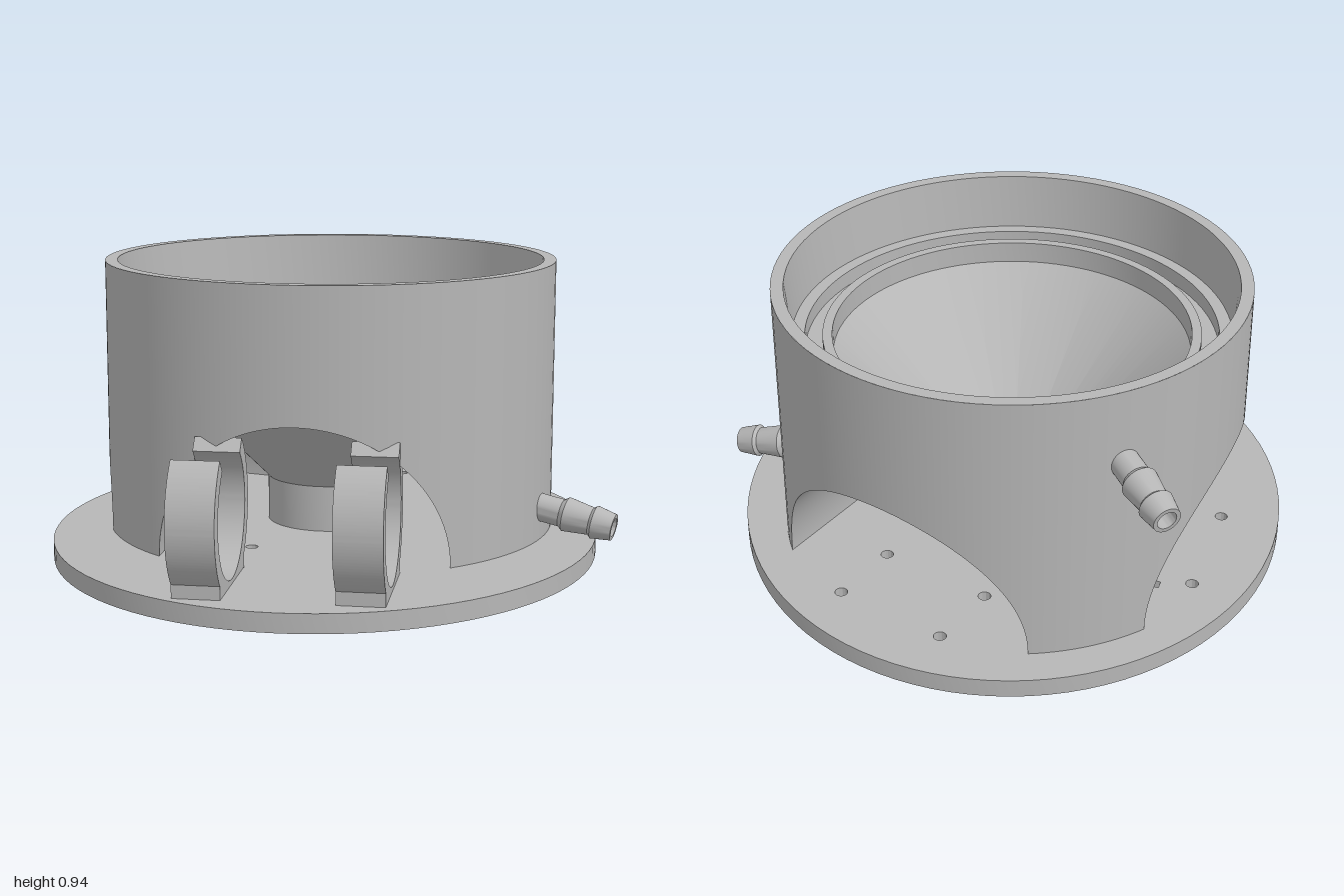
import * as THREE from 'three';
import { toCreasedNormals } from 'three/addons/utils/BufferGeometryUtils.js';
import { ParametricGeometry } from 'three/addons/geometries/ParametricGeometry.js';

const CX = -0.06, CZ = -0.14;        // axis of the round body
const FLOOR = 0.06, TOP = 0.94, R = 0.74;
const ARCH = 0.455;                  // radius of the arched tunnels
const rad = THREE.MathUtils.degToRad;

export function createModel() {
  const grey = new THREE.MeshStandardMaterial({ color: 0xb6b6b6 });
  grey.name = 'plain grey';
  const model = new THREE.Group();
  model.name = 'funnelStand';
  const body = new THREE.Group();
  body.name = 'body';
  body.position.set(CX, 0, CZ);
  model.add(body);

  const add = (name, geometry, parent = model) => {
    const mesh = new THREE.Mesh(geometry, grey);
    mesh.name = name;
    parent.add(mesh);
    return mesh;
  };
  const lathe = (pts, segments) => toCreasedNormals(
    new THREE.LatheGeometry(pts.map(p => new THREE.Vector2(...p)), segments), 0.5);

  // Tunnels: heading and the half angles to the neighbour on the two sides
  const tunnels = [
    { az: rad(75), plus: rad(52.5), minus: rad(75) },
    { az: rad(180), plus: rad(52.5), minus: rad(52.5) },
    { az: rad(285), plus: rad(75), minus: rad(52.5) },
  ];

  // Base plate: tilted ellipse with screw holes and cable slots
  const plate = new THREE.Shape();
  plate.absellipse(-0.025, -0.02, 0.986, 0.888, 0, Math.PI * 2, false, rad(75));
  const onPlate = (az, t, d) => [
    CX + t * Math.cos(az) - d * Math.sin(az),
    CZ + t * Math.sin(az) + d * Math.cos(az)];
  for (const { az } of tunnels) {
    for (const t of [0.43, 0.665]) for (const d of [-0.19, 0.19]) {
      const hole = new THREE.Path();
      hole.absarc(...onPlate(az, t, d), 0.02, 0, Math.PI * 2, true);
      plate.holes.push(hole);
    }
  }
  for (const s of [-1, 1]) {
    const corners = [[-1, -1], [1, -1], [1, 1], [-1, 1]].map(([a, b]) =>
      new THREE.Vector2(...onPlate(Math.PI, 0.545 + a * 0.025, s * 0.23 + b * 0.015)));
    plate.holes.push(new THREE.Path(corners));
  }
  const plateGeo = new THREE.ExtrudeGeometry(plate,
    { depth: FLOOR, bevelEnabled: false, curveSegments: 48 });
  plateGeo.rotateX(Math.PI / 2).translate(0, FLOOR, 0);
  add('basePlate', toCreasedNormals(plateGeo, 0.5));

  // Outer wall over an arch, and the arch lining running in to the funnel
  tunnels.forEach(({ az, plus, minus }, i) => {
    add('archWall' + (i + 1), new ParametricGeometry((u, v, p) => {
      const phi = (u - 0.5) * Math.PI;
      const a = az - Math.asin(ARCH * Math.sin(phi) / R);
      const low = FLOOR + ARCH * Math.cos(phi);
      p.set(R * Math.cos(a), low + (TOP - low) * v, R * Math.sin(a));
    }, 64, 1), body);

    add('archLining' + (i + 1), new ParametricGeometry((u, v, p) => {
      const phi = (u - 0.5) * Math.PI;
      const d = -ARCH * Math.sin(phi), y = FLOOR + ARCH * Math.cos(phi);
      const cone = Math.max(0.21, y);
      const inner = Math.max(Math.sqrt(Math.max(0, cone * cone - d * d)),
        Math.abs(d) / Math.tan(d > 0 ? plus : minus));
      const t = inner + (Math.sqrt(R * R - d * d) - inner) * v;
      p.set(t * Math.cos(az) - d * Math.sin(az), y, t * Math.sin(az) + d * Math.cos(az));
    }, 96, 1), body);

    // Pillar between this arch and the next
    const half = Math.asin(ARCH / R);
    const next = i < 2 ? tunnels[i + 1].az : tunnels[0].az + Math.PI * 2;
    add('pillar' + (i + 1), new ParametricGeometry((u, v, p) => {
      const a = THREE.MathUtils.lerp(next - half, az + half, u);
      p.set(R * Math.cos(a), FLOOR + (TOP - FLOOR) * v, R * Math.sin(a));
    }, 20, 1), body);
  });

  // Rim, stepped seat with ring groove, funnel and drain
  add('rimAndFunnel', lathe([
    [R, TOP], [0.7, TOP], [0.685, 0.76], [0.645, 0.76], [0.645, 0.71], [0.59, 0.71],
    [0.59, 0.76], [0.56, 0.76], [0.56, 0.69], [0.04, 0.17], [0.04, 0.1], [0, 0.1],
  ], 96), body);

  // Underside of the funnel and its central column
  add('funnelUnderside', lathe([[0.21, FLOOR], [0.21, 0.21], [0.58, 0.58]], 96), body);

  // Barbed hose nozzles, sloping down and outward
  const nozzleGeo = lathe([
    [0.03, 0], [0.045, 0], [0.045, 0.11], [0.056, 0.125], [0.045, 0.21],
    [0.054, 0.22], [0.043, 0.285], [0.03, 0.285], [0.03, 0],
  ], 32).rotateZ(-Math.PI / 2 - rad(10));
  for (const [name, az, y] of [['lowerNozzle', 0, 0.17], ['upperNozzle', rad(225), 0.705]]) {
    const nozzle = add(name, nozzleGeo, body);
    nozzle.position.set(0.7 * Math.cos(az), y, 0.7 * Math.sin(az));
    nozzle.rotation.y = -az;
  }

  // Open-topped clips with a foot on the base plate
  const ro = 0.25, ri = 0.2, foot = 0.18, axisY = 0.275;
  const footAngle = Math.acos(foot / ro);
  const clip = new THREE.Shape();
  clip.absarc(0, 0, ro, rad(50), -footAngle, true);
  clip.lineTo(foot, FLOOR - axisY);
  clip.lineTo(-foot, FLOOR - axisY);
  clip.absarc(0, 0, ro, Math.PI + footAngle, rad(130), true);
  clip.absarc(0, 0, ri, rad(130), rad(410), false);
  const clipGeo = toCreasedNormals(new THREE.ExtrudeGeometry(clip,
    { depth: 0.145, bevelEnabled: false, curveSegments: 40 }).translate(0, 0, -0.0725), 0.5);
  [[-0.078, 0.733], [0.385, 0.607]].forEach(([x, z], i) => {
    const mesh = add('clip' + (i + 1), clipGeo);
    mesh.position.set(x, axisY, z);
    mesh.rotation.y = -rad(75);
  });

  return model;
}
